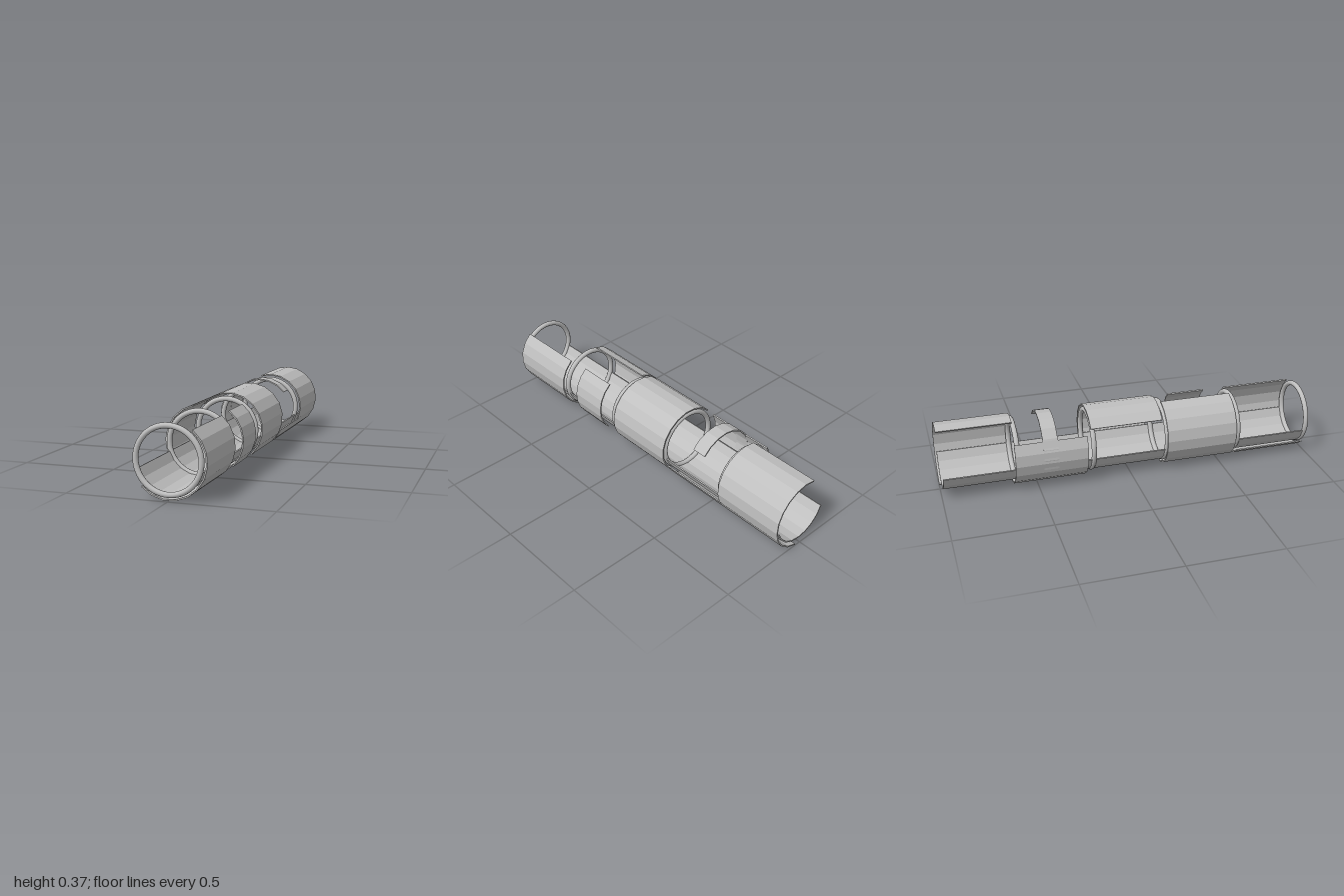
import * as THREE from 'three';

const CENTRE_Y = 0.186;
const rad = THREE.MathUtils.degToRad;

// Faceted curved plate running along z, from angle a0 to a1 (degrees, 0 = +x, 90 = up)
function curvedPlate(inner, outer, a0, a1, z0, z1, segments) {
  const points = [];
  for (let i = 0; i <= segments; i++) {
    const a = rad(a0 + ((a1 - a0) * i) / segments);
    points.push(new THREE.Vector2(outer * Math.cos(a), outer * Math.sin(a)));
  }
  for (let i = segments; i >= 0; i--) {
    const a = rad(a0 + ((a1 - a0) * i) / segments);
    points.push(new THREE.Vector2(inner * Math.cos(a), inner * Math.sin(a)));
  }
  const geometry = new THREE.ExtrudeGeometry(new THREE.Shape(points), {
    depth: z1 - z0, bevelEnabled: false, steps: 1,
  });
  return geometry.translate(0, CENTRE_Y, z0);
}

export function createModel() {
  const model = new THREE.Group();
  model.name = 'segmentedTube';
  const grey = new THREE.MeshStandardMaterial({ color: 0xbfbfbf });
  grey.name = 'lightGrey';

  const add = (name, geometry) => {
    const mesh = new THREE.Mesh(geometry, grey);
    mesh.name = name;
    model.add(mesh);
    return mesh;
  };

  // Long trough along the bottom
  add('trough', curvedPlate(0.157, 0.164, -163, -17, -0.99, 0.985, 8));

  // Round support rings
  [0.985, 0.587, 0.188, -0.21, -0.607].forEach((z, i) => {
    const ring = add('supportRing' + (i + 1), new THREE.TorusGeometry(0.1565, 0.0135, 12, 64));
    ring.position.set(0, CENTRE_Y, z);
  });

  // Outer shell panels, each turned to a different angle: [start, end, back z, front z]
  [
    [-136, 51, 0.6, 0.985],
    [103, 290, 0.185, 0.57],
    [-48, 139, -0.222, 0.163],
    [149, 336, -0.625, -0.245],
    [-79, 108, -1, -0.615],
  ].forEach(([a0, a1, z0, z1], i) => {
    add('shellPanel' + (i + 1), curvedPlate(0.178, 0.185, a0, a1, z0, z1, 10));
  });

  // Narrow straps bridging the open sides
  add('sideStrap', curvedPlate(0.178, 0.185, -44, 53, 0.275, 0.48, 6));
  add('topStrap', curvedPlate(0.177, 0.184, 39, 199, -0.478, -0.4, 9));

  return model;
}
